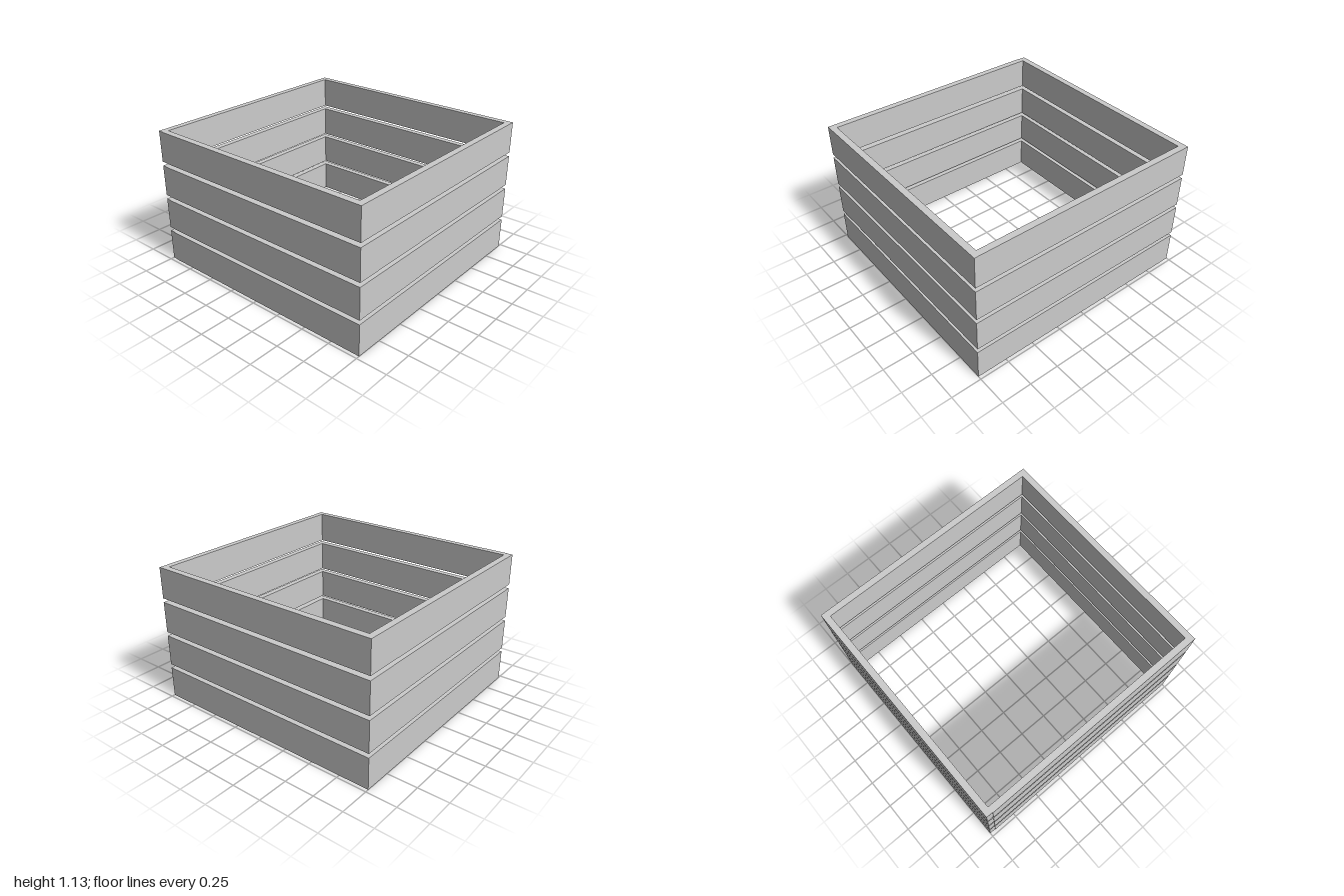
import * as THREE from 'three';

const HALF_X = 1, HALF_Z = 0.972, THICK = 0.052;
const BOARD_H = 0.258, PITCH = 0.292, TIERS = 4;

export function createModel() {
  const model = new THREE.Group();
  model.name = 'slattedPlanterBox';
  const material = new THREE.MeshStandardMaterial({ color: 0xcccccc });

  // One board spanning the given x and z ranges
  const board = (name, x0, x1, z0, z1) => {
    const mesh = new THREE.Mesh(new THREE.BoxGeometry(x1 - x0, BOARD_H, z1 - z0), material);
    mesh.position.set((x0 + x1) / 2, BOARD_H / 2, (z0 + z1) / 2);
    mesh.name = name;
    return mesh;
  };

  // Four stacked frames, each board butting against the next around the corners
  for (let i = 0; i < TIERS; i++) {
    const tier = new THREE.Group();
    tier.name = `tier${i + 1}`;
    tier.position.y = i * PITCH;
    const inX = HALF_X - THICK, inZ = HALF_Z - THICK;
    tier.add(
      board('frontBoard', -inX, HALF_X, inZ, HALF_Z),
      board('leftBoard', inX, HALF_X, -HALF_Z, inZ),
      board('backBoard', -HALF_X, inX, -HALF_Z, -inZ),
      board('rightBoard', -HALF_X, -inX, -inZ, HALF_Z - 0.004),
    );
    model.add(tier);
  }
  return model;
}
